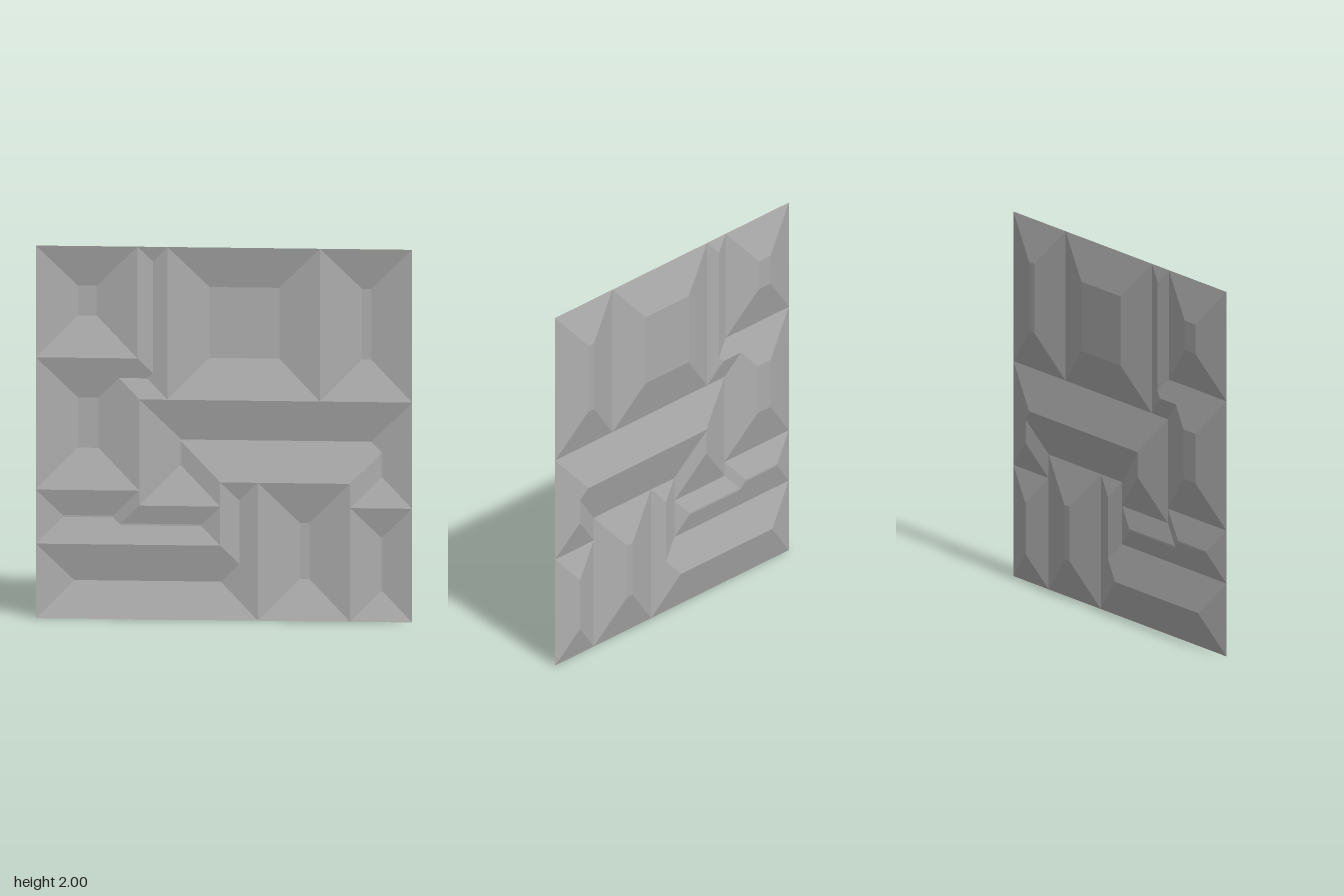
import * as THREE from 'three';

const HALF = 0.025;  // half of the panel's depth
const SLOPE = 0.22;  // run of a slope from ridge to floor
const STEPS = 200;   // grid squares per side

// Ridge lines that divide the panel into sunken cells: [x0, y0, x1, y1]
const ridges = [
  [-1, 0, 1, 0], [-1, 2, 1, 2], [-1, 0, -1, 2], [1, 0, 1, 2],   // outer border
  [-1, 1.4, -0.46, 1.4], [-0.46, 1.4, -0.46, 2],                // upper left cell
  [-0.3, 1.18, -0.3, 2], [0.51, 1.18, 0.51, 2],                 // upper uprights
  [-0.45, 1.18, 1, 1.18],                                       // long middle ridge
  [-0.45, 0.61, -0.45, 1.18], [-1, 0.69, -0.45, 0.69],          // middle left cell
  [-0.45, 0.61, -0.02, 0.61], [-1, 0.4, -0.02, 0.4],            // lower left channels
  [-0.02, 0.4, -0.02, 0.74], [-0.02, 0.74, 0.67, 0.74],         // stepped corner
  [0.18, 0, 0.18, 0.74], [0.67, 0, 0.67, 0.74],                 // lower uprights
  [0.67, 0.61, 1, 0.61],                                        // lower right cell
];

// Each point falls away from its nearest ridge at a constant slope, down to a flat floor
function height(x, y) {
  let d = SLOPE;
  for (const [x0, y0, x1, y1] of ridges) {
    const dx = Math.max(x0 - x, x - x1, 0);
    const dy = Math.max(y0 - y, y - y1, 0);
    d = Math.min(d, Math.max(dx, dy));
  }
  return HALF - (2 * HALF * d) / SLOPE;
}

function reliefGeometry() {
  const positions = [];
  const index = [];
  const row = STEPS + 1;
  const at = (i) => (i * 2) / STEPS;
  for (let j = 0; j < row; j++) {
    for (let i = 0; i < row; i++) {
      const x = at(i) - 1, y = at(j);
      positions.push(x, y, height(x, y));
    }
  }
  // Split each square along the diagonal that follows the crease
  for (let j = 0; j < STEPS; j++) {
    for (let i = 0; i < STEPS; i++) {
      const a = j * row + i, b = a + 1, c = b + row, d = a + row;
      const z = (k) => positions[k * 3 + 2];
      const mid = height(at(i + 0.5) - 1, at(j + 0.5));
      const errAC = Math.abs((z(a) + z(c)) / 2 - mid);
      const errBD = Math.abs((z(b) + z(d)) / 2 - mid);
      if (errAC <= errBD) index.push(a, b, c, a, c, d);
      else index.push(a, b, d, b, c, d);
    }
  }
  const indexed = new THREE.BufferGeometry();
  indexed.setAttribute('position', new THREE.Float32BufferAttribute(positions, 3));
  indexed.setIndex(index);
  const geometry = indexed.toNonIndexed();
  geometry.computeVertexNormals();
  return geometry;
}

export function createModel() {
  const group = new THREE.Group();
  group.name = 'reliefPanel';
  const grey = new THREE.MeshStandardMaterial({
    color: 0xb0b0b0, flatShading: true, side: THREE.DoubleSide,
  });
  grey.name = 'grey';
  const panel = new THREE.Mesh(reliefGeometry(), grey);
  panel.name = 'facetedPanel';
  group.add(panel);
  return group;
}
